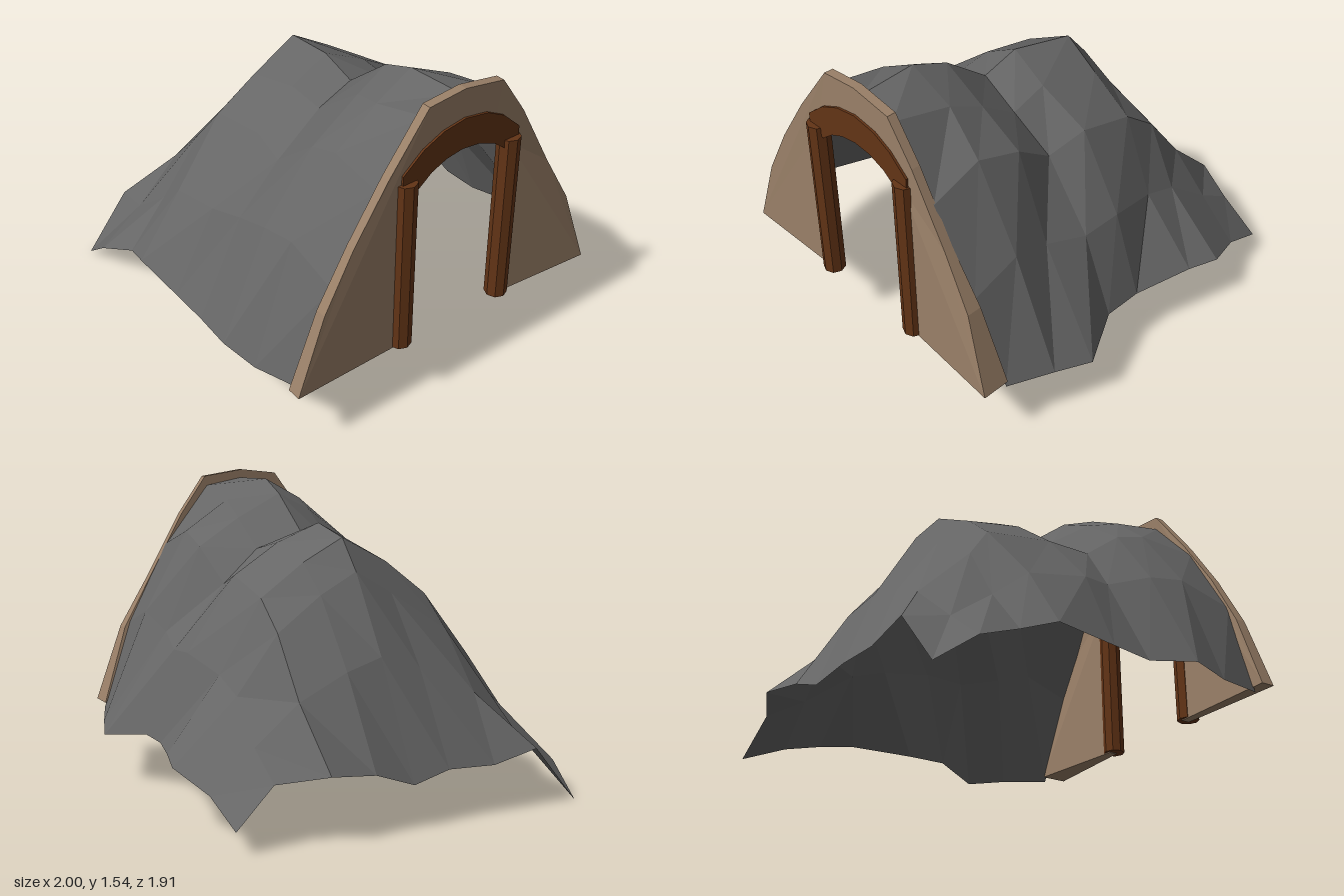
import * as THREE from 'three';

const rock = new THREE.MeshStandardMaterial({ color: 0x666666, flatShading: true, side: THREE.DoubleSide });
const clay = new THREE.MeshStandardMaterial({ color: 0x9a8068, flatShading: true });
const wood = new THREE.MeshStandardMaterial({ color: 0x633416, flatShading: true });

const clamp01 = (v) => Math.min(1, Math.max(0, v));

// Repeatable unevenness between -1 and 1
const wobble = (i, j, k) => {
  const s = Math.sin(i * 12.9898 + j * 78.233 + k * 37.719) * 43758.5453;
  return (s - Math.floor(s)) * 2 - 1;
};

function part(name, geometry, material) {
  const mesh = new THREE.Mesh(geometry, material);
  mesh.name = name;
  return mesh;
}

// Shape drawn as [z, y] pairs, extruded along +x from x0
function slab(outline, x0, depth) {
  const shape = new THREE.Shape(outline.map(([z, y]) => new THREE.Vector2(-z, y)));
  const g = new THREE.ExtrudeGeometry(shape, { depth, bevelEnabled: false });
  return g.rotateY(Math.PI / 2).translate(x0, 0, 0);
}

// Low-poly hill: an open sheet, lerped from its edges up to the ridge
function hill() {
  const xs = [-0.94, -0.7, -0.47, -0.3, 0, 0.2, 0.45, 0.64, 0.91];
  const zs = [-0.88, -0.66, -0.44, -0.2, 0, 0.2, 0.45, 0.69, 0.93];
  const ridge = [0.2, 0.73, 1.1, 1.25, 1.3, 1.24, 1.43, 1.5, 1.5];
  const rise = [0, 0.44, 0.77, 0.91, 1, 0.91, 0.77, 0.48, 0];
  // Higher values make a steeper, narrower cross-section
  const steepFront = [1, 1.5, 1.6, 1.5, 1.2, 1.05, 1, 1, 1];
  const steepBack = [1, 1.2, 1.3, 1.25, 1.1, 1.05, 1, 1, 1];
  const frontY = [0, 0.15, 0.25, 0.31, 0.28, 0.26, 0.3, 0.27, 0.29];
  const backY = [0.1, 0.2, 0.28, 0.3, 0.28, 0.28, 0.24, 0.27, 0.29];
  const frontZ = [0.93, 0.95, 0.9, 0.94, 0.925, 0.915, 0.95, 0.91, 0.84];
  const backZ = [-0.85, -0.87, -0.95, -0.91, -0.83, -0.83, -0.96, -0.9, -0.82];
  const leftX = [-0.93, -0.9, -1, -0.96, -0.95, -0.92, -0.915, -0.91, -0.9];
  const leftY = [0.1, 0.27, 0.3, 0.27, 0.2, 0.24, 0.23, 0.28, 0];
  // Edge that tucks in behind the portal
  const mouthX = [0.87, 0.9, 0.92, 0.92, 0.92, 0.92, 0.92, 0.92, 0.9];
  const mouthY = [0.29, 0.74, 1.15, 1.46, 1.5, 1.46, 1.19, 0.79, 0.29];

  const g = new THREE.PlaneGeometry(1, 1, 8, 8);
  const pos = g.attributes.position;
  for (let j = 0; j < 9; j++) {
    for (let i = 0; i < 9; i++) {
      const inner = i > 0 && i < 8 && j > 0 && j < 8 ? 1 : 0;
      const edge = j < 4 ? backY[i] : frontY[i];
      const steep = j < 4 ? steepBack[i] : steepFront[i];
      let x = xs[i] + 0.03 * wobble(i, j, 1) * inner;
      let y = edge + (ridge[i] - edge) * rise[j] ** steep;
      let z = zs[j] + 0.03 * wobble(i, j, 2) * inner;
      if (j !== 4) y += 0.02 * wobble(i, j, 3) * inner;
      if (j === 0) z = backZ[i];
      if (j === 8) z = frontZ[i];
      if (i === 0) {
        x = leftX[j];
        y = leftY[j];
      }
      if (i === 8) {
        x = mouthX[j];
        y = mouthY[j];
      }
      pos.setXYZ(j * 9 + i, x, y, z);
    }
  }
  g.computeVertexNormals();
  return g;
}

// Clay face around the entrance, thicker towards its feet
function portalFace() {
  const g = slab([
    [0.31, 0.315], [0.9, 0.315], [0.755, 0.7], [0.6, 0.98], [0.42, 1.25], [0.21, 1.525], [0.01, 1.545],
    [-0.21, 1.51], [-0.35, 1.31], [-0.54, 0.97], [-0.69, 0.71], [-0.82, 0.315], [-0.275, 0.315],
    [-0.275, 1.17], [-0.17, 1.25], [0.02, 1.29], [0.19, 1.25], [0.31, 1.17],
  ], 0.91, 0.045);
  const pos = g.attributes.position;
  for (let i = 0; i < pos.count; i++) {
    const z = pos.getZ(i);
    const foot = clamp01((0.98 - pos.getY(i)) / 0.66) * clamp01((Math.abs(z) - 0.31) / 0.51);
    const isFront = pos.getX(i) > 0.93;
    const shift = z < 0 ? (isFront ? 0.045 : -0.05) : (isFront ? 0.007 : -0.02);
    pos.setX(i, pos.getX(i) + shift * foot);
  }
  g.computeVertexNormals();
  return g;
}

// Curved lintel board over the entrance
function lintel() {
  return slab([
    [0.35, 1.19], [0.35, 1.245], [0.24, 1.335], [0.13, 1.385], [0.01, 1.405], [-0.12, 1.385], [-0.22, 1.335],
    [-0.32, 1.245], [-0.32, 1.19], [-0.25, 1.15], [-0.17, 1.21], [-0.08, 1.245], [0.02, 1.255],
    [0.11, 1.24], [0.19, 1.205], [0.26, 1.15],
  ], 0.9, 0.066);
}

export function createModel() {
  const group = new THREE.Group();
  group.name = 'mineEntrance';
  group.add(part('hill', hill(), rock));
  group.add(part('portalFace', portalFace(), clay));
  group.add(part('lintelBoard', lintel(), wood));

  // Posts either side of the entrance
  for (const [name, z] of [['leftPost', 0.318], ['rightPost', -0.282]]) {
    const post = part(name, new THREE.CylinderGeometry(0.055, 0.055, 0.88, 8), wood);
    post.position.set(0.945, 0.76, z);
    group.add(post);
  }
  return group;
}
